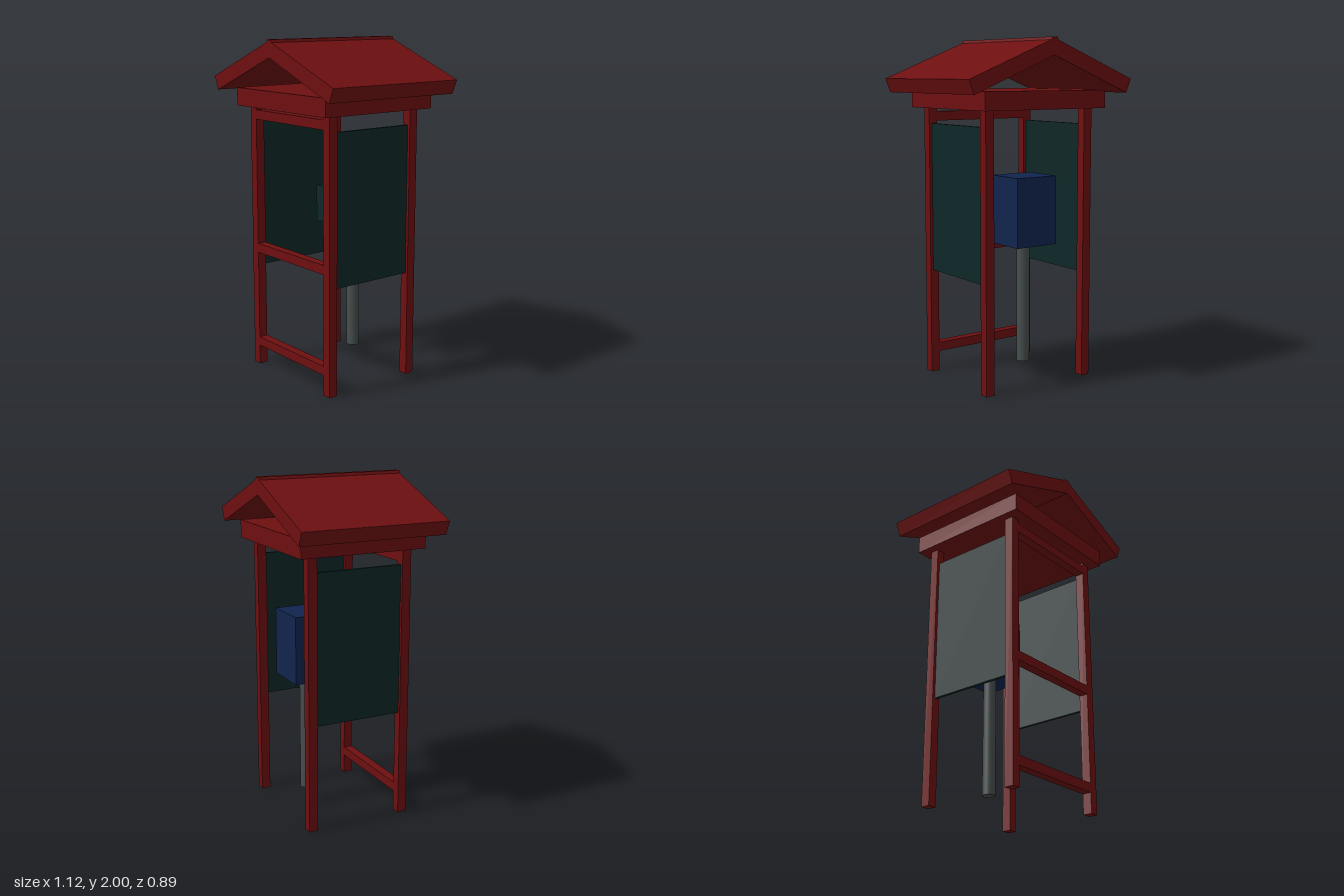
import * as THREE from 'three';

const mat = (name, color) => {
  const m = new THREE.MeshStandardMaterial({ color });
  m.name = name;
  return m;
};

export function createModel() {
  const red = mat('dark red wood', 0x6e0f10);
  const green = mat('dark green', 0x0e2727);
  const blue = mat('navy blue', 0x10244e);
  const grey = mat('pole grey', 0x464e4d);
  const keyGrey = mat('key grey', 0x5a5f5e);

  const model = new THREE.Group();
  model.name = 'phoneShelter';

  const add = (name, geometry, material, x, y, z, parent = model) => {
    const mesh = new THREE.Mesh(geometry, material);
    mesh.name = name;
    mesh.position.set(x, y, z);
    parent.add(mesh);
    return mesh;
  };
  const box = (name, material, w, h, d, x, y, z, parent) =>
    add(name, new THREE.BoxGeometry(w, h, d), material, x, y, z, parent);

  const postX = 0.346, postZ = 0.294, postW = 0.055;

  for (const [side, s] of [['left', 1], ['right', -1]]) {
    // Corner posts and side panel
    box(`${side}FrontPost`, red, postW, 1.6, postW, s * postX, 0.8, postZ);
    box(`${side}BackPost`, red, postW, 1.6, postW, s * postX, 0.8, -postZ);
    box(`${side}Panel`, green, 0.02, 0.88, 0.54, s * postX, 1.07, 0);

    // Roof board: sloped slab crossing slightly over the ridge
    const roof = new THREE.Shape();
    roof.moveTo(s * 0.562, 1.771);
    roof.lineTo(s * 0.53, 1.691);
    roof.lineTo(s * -0.05, 1.92);
    roof.lineTo(s * -0.018, 2.0);
    roof.closePath();
    const geo = new THREE.ExtrudeGeometry(roof, { depth: 0.894, bevelEnabled: false });
    add(`${side}RoofBoard`, geo, red, 0, 0, -0.447);
  }

  // Cross rails, front only
  for (const [name, y] of [['lowerRail', 0.147], ['middleRail', 0.742], ['upperRail', 1.552]]) {
    box(name, red, 0.64, 0.055, 0.055, 0, y, postZ);
  }

  // Ceiling slab under the roof
  box('ceilingSlab', red, 0.84, 0.105, 0.77, 0, 1.655, 0);

  // Pole and telephone
  add('pole', new THREE.CylinderGeometry(0.038, 0.038, 0.72, 24), grey, 0, 0.476, -0.16);
  const phone = new THREE.Group();
  phone.name = 'telephone';
  model.add(phone);
  box('phoneBody', blue, 0.276, 0.4, 0.25, -0.002, 1.017, -0.165, phone);
  box('keypadPlate', green, 0.215, 0.17, 0.03, 0, 1.065, -0.03, phone);
  box('handset', green, 0.062, 0.22, 0.06, -0.1, 1.014, -0.012, phone);

  // Keys in a three by three grid
  for (let row = 0; row < 3; row++) {
    for (let col = 0; col < 3; col++) {
      box('key', keyGrey, 0.026, 0.018, 0.008, (col - 1) * 0.053, 1.07 - row * 0.04, -0.013, phone);
    }
  }
  return model;
}
